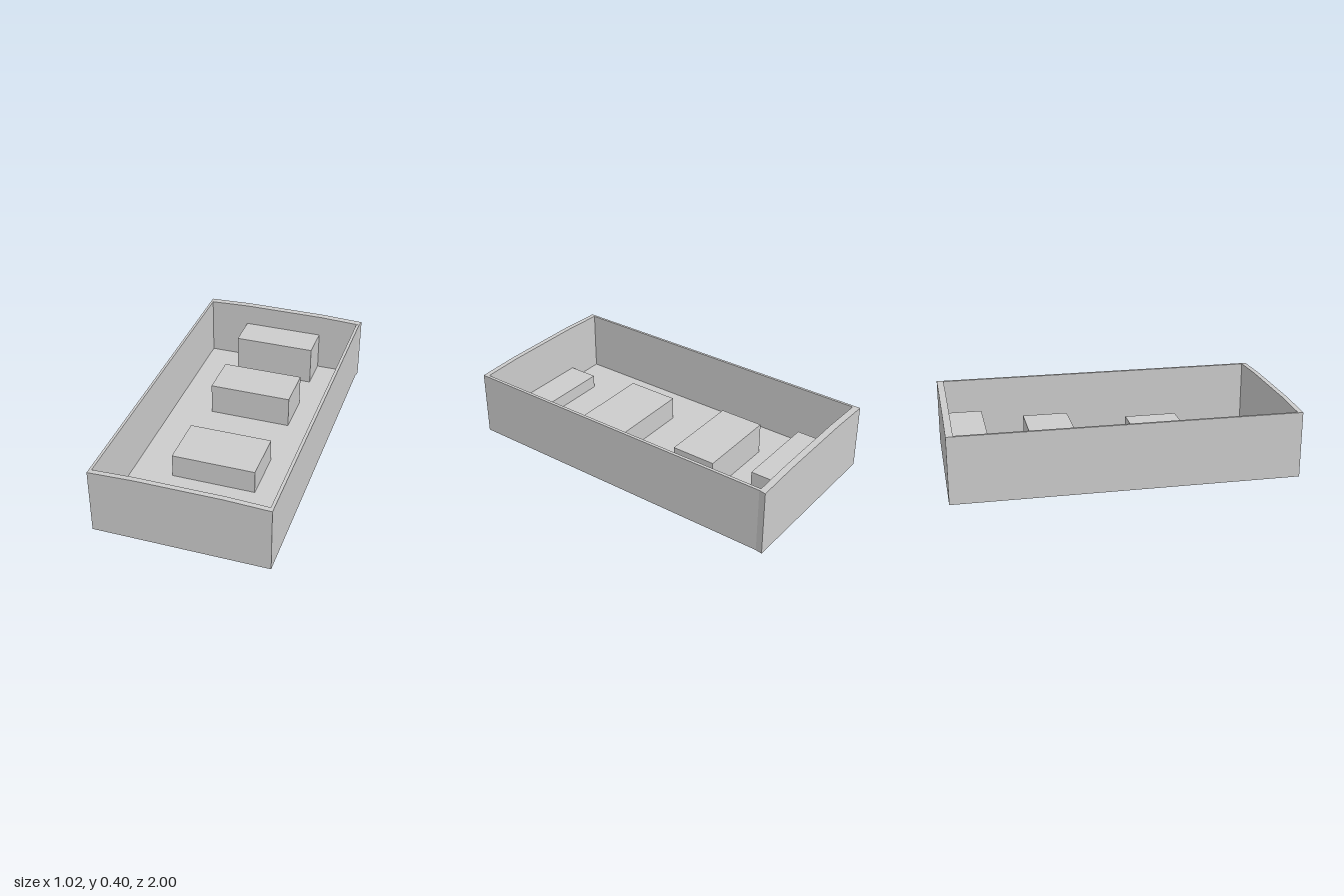
import * as THREE from 'three';

const material = new THREE.MeshStandardMaterial({ color: 0xcccccc, flatShading: true });

export function createModel() {
  const group = new THREE.Group();
  const add = (name, geometry) => {
    const mesh = new THREE.Mesh(geometry, material);
    mesh.name = name;
    group.add(mesh);
    return mesh;
  };
  // box given by its limits on each axis
  const box = (name, [x0, x1], [y0, y1], [z0, z1]) =>
    add(name, new THREE.BoxGeometry(x1 - x0, y1 - y0, z1 - z0))
      .position.set((x0 + x1) / 2, (y0 + y1) / 2, (z0 + z1) / 2);

  const left = 0.505, right = -0.512, rim = 0.39, floorTop = 0.025;
  const backInner = -0.96, frontInner = 0.97;

  // end wall with a gently crowned top edge
  const endWall = (name, x1, z0, z1) => {
    const shape = new THREE.Shape([
      [right, 0], [x1, 0], [x1, rim], [0.38, 0.395], [0.25, 0.4],
      [-0.25, 0.4], [-0.38, 0.395], [right, rim],
    ].map(([x, y]) => new THREE.Vector2(x, y)));
    const geometry = new THREE.ExtrudeGeometry(shape, { depth: z1 - z0, bevelEnabled: false });
    geometry.translate(0, 0, z0);
    return add(name, geometry);
  };

  // tray: floor, two straight long walls and two crowned end walls
  box('floor', [-0.497, 0.487], [0, floorTop], [backInner, frontInner]);
  box('leftWall', [0.487, left], [0, rim], [backInner, frontInner]);
  box('rightWall', [right, -0.497], [0, rim], [backInner, frontInner]);
  endWall('frontWall', left, frontInner, 1);
  const back = endWall('backWall', 0.512, -1, backInner);

  // the back wall flares out slightly at its left corner
  const p = back.geometry.attributes.position;
  for (let i = 0; i < p.count; i++) {
    if (p.getX(i) > left && p.getZ(i) > -0.98) p.setX(i, left);
  }
  back.geometry.computeVertexNormals();

  // row of blocks on the floor, rising toward the back: z limits and top height
  [
    [0.785, frontInner, 0.107],
    [0.138, 0.455, 0.168],
    [-0.5, -0.232, 0.218],
    [backInner, -0.752, 0.267],
  ].forEach(([z0, z1, top], i) =>
    box(`step${i + 1}`, [-0.254, 0.244], [floorTop, top], [z0, z1]));

  return group;
}
